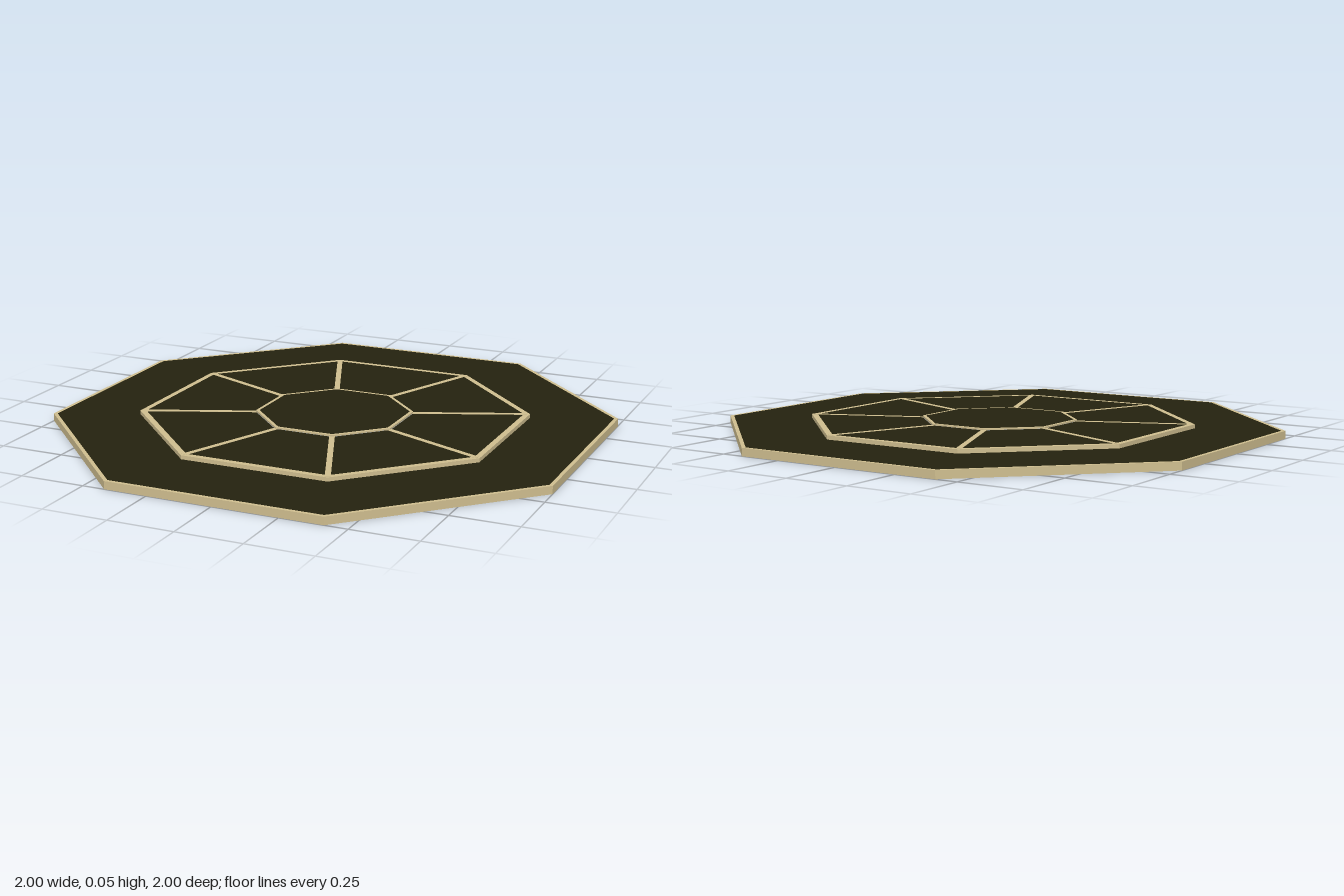
import * as THREE from 'three';

const SIDES = 8;
const STEP = Math.PI / SIDES;      // half of one side's angle
const TO_CORNER = 1 / Math.cos(STEP); // flat-to-flat half width -> corner radius

export function createModel() {
  const group = new THREE.Group();
  const material = (name, color) => {
    const m = new THREE.MeshStandardMaterial({ color, flatShading: true });
    m.name = name;
    return m;
  };
  const tan = material('tan trim', 0xcfbe8f);
  const dark = material('dark olive panel', 0x24220f);
  const grey = material('grey underside', 0x585858);

  // Octagonal surface swept from a profile of [half width, height] points
  const octagon = (name, profile, mat) => {
    const points = profile.map(([w, y]) => new THREE.Vector2(w * TO_CORNER, y));
    const mesh = new THREE.Mesh(new THREE.LatheGeometry(points, SIDES, STEP), mat);
    mesh.name = name;
    group.add(mesh);
  };

  // Wide base slab
  octagon('baseRim', [[1, 0], [1, 0.03], [0.986, 0.03]], tan);
  octagon('baseTop', [[0.986, 0.03], [0.69, 0.03]], dark);

  // Raised middle tier
  octagon('middleRim', [[0.69, 0.03], [0.69, 0.045], [0.668, 0.045]], tan);
  octagon('middlePanels', [[0.668, 0.045], [0.28, 0.045]], dark);

  // Raised centre tier
  octagon('centreRim', [[0.278, 0.045], [0.278, 0.051], [0.266, 0.051]], tan);
  octagon('centrePanel', [[0.266, 0.051], [0, 0.051]], dark);

  // Underside with a stepped recess
  octagon('underside', [[0, 0.042], [0.147, 0.042], [0.147, 0.03],
    [0.208, 0.03], [0.208, 0], [1, 0]], grey);

  // Spokes joining the corners of the centre and middle tiers
  const inner = 0.272 * TO_CORNER, outer = 0.679 * TO_CORNER;
  const spokeGeometry = new THREE.BoxGeometry(0.021, 0.002, outer - inner);
  spokeGeometry.translate(0, 0.0447, (inner + outer) / 2);
  for (let i = 0; i < SIDES; i++) {
    const spoke = new THREE.Mesh(spokeGeometry, tan);
    spoke.name = 'spoke';
    spoke.rotation.y = STEP * (2 * i + 1);
    group.add(spoke);
  }
  return group;
}
